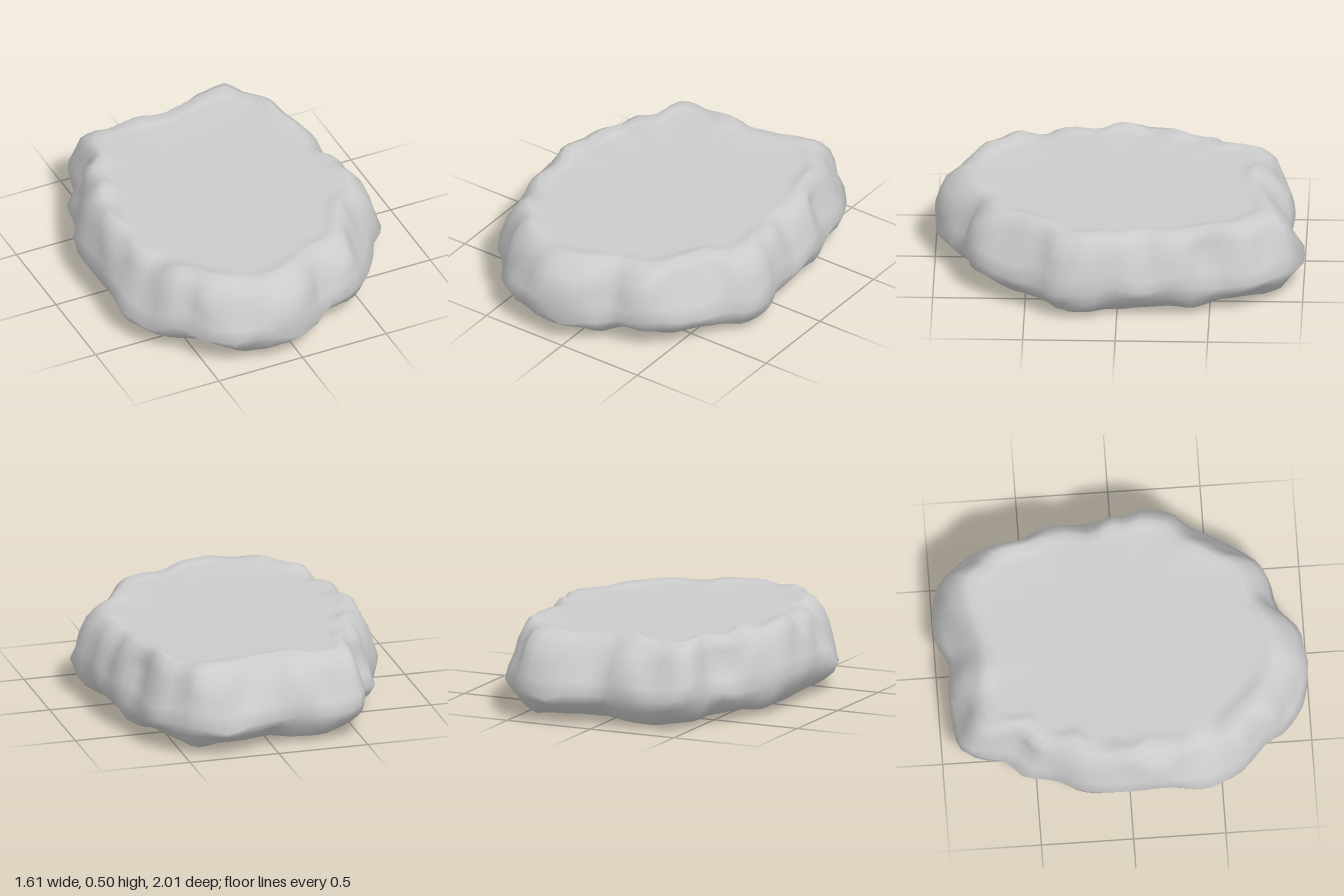
import * as THREE from 'three';

// Widest outline of the slab as x, z pairs, starting at the back
const OUTLINE = [
  0.16, -1, 0.44, -0.97, 0.56, -0.86, 0.64, -0.74, 0.68, -0.55, 0.73, -0.4, 0.76, -0.2, 0.77, -0.03,
  0.77, 0.08, 0.8, 0.17, 0.79, 0.33, 0.7, 0.43, 0.63, 0.56, 0.48, 0.76, 0.36, 0.83, 0.22, 0.86,
  0.13, 0.93, 0, 0.99, -0.2, 1, -0.37, 0.96, -0.5, 0.86, -0.56, 0.77, -0.66, 0.67, -0.74, 0.55,
  -0.8, 0.4, -0.79, 0.2, -0.8, 0, -0.78, -0.24, -0.7, -0.4, -0.66, -0.58, -0.58, -0.66, -0.54, -0.82,
  -0.49, -0.9, -0.27, -0.94, -0.1, -0.94, 0, -0.93,
];

// Rings from the underside centre to the top centre: [scale, height, inward chip, vertical bump]
const RINGS = [
  [0.001, 0.035, 0, 0], [0.15, 0.035, 0, 0.025], [0.3, 0.035, 0, 0.025], [0.45, 0.035, 0, 0.025],
  [0.6, 0.035, 0, 0.025], [0.75, 0.03, 0, 0.02], [0.88, 0.035, 0.03, 0.02], [0.94, 0.07, 0.04, 0.03],
  [0.985, 0.12, 0.03, 0.03], [1, 0.18, 0, 0.05], [0.995, 0.25, 0.05, 0.03], [0.97, 0.33, 0.07, 0.03],
  [0.94, 0.4, 0.08, 0.02], [0.885, 0.455, 0.06, 0.025], [0.83, 0.482, 0.05, 0.024],
  [0.78, 0.472, 0.06, 0.012], [0.71, 0.465, 0.04, 0], [0.4, 0.465, 0, 0], [0.001, 0.465, 0, 0],
];

// Smooth value noise between -1 and 1
function hash(x, y, z) {
  const s = Math.sin(x * 127.1 + y * 311.7 + z * 74.7) * 43758.5453;
  return (s - Math.floor(s)) * 2 - 1;
}
function noise(x, y, z) {
  const ix = Math.floor(x), iy = Math.floor(y), iz = Math.floor(z);
  const ease = (t) => t * t * (3 - 2 * t);
  const u = ease(x - ix), v = ease(y - iy), w = ease(z - iz);
  let sum = 0;
  for (let a = 0; a < 2; a++) for (let b = 0; b < 2; b++) for (let c = 0; c < 2; c++) {
    sum += (a ? u : 1 - u) * (b ? v : 1 - v) * (c ? w : 1 - w) * hash(ix + a, iy + b, iz + c);
  }
  return sum;
}

function slabGeometry() {
  const points = [];
  for (let i = 0; i < OUTLINE.length; i += 2) points.push(new THREE.Vector3(OUTLINE[i], 0, OUTLINE[i + 1]));
  const outline = new THREE.CatmullRomCurve3(points, true).getSpacedPoints(96).slice(0, 96);
  const n = outline.length, position = [], index = [];

  RINGS.forEach(([scale, height, chip, bump], j) => {
    for (const p of outline) {
      // The underside tapers more towards the front
      const taper = j > 5 && j < 9 ? 0.6 * (1 - scale) * Math.max(0, p.z) ** 2 : 0;
      const s = scale - taper - chip * (0.5 + 0.8 * noise(p.x * 6 + 9, height * 6, p.z * 6));
      const x = p.x * s, z = p.z * s;
      const y = height + bump * 1.4 * noise(x * 7, height * 3 + 20, z * 7);
      position.push(x, Math.max(0, y), z);
    }
  });

  for (let j = 0; j < RINGS.length - 1; j++) {
    for (let i = 0; i < n; i++) {
      const a = j * n + i, b = j * n + (i + 1) % n;
      index.push(a, a + n, b, b, a + n, b + n);
    }
  }
  const geometry = new THREE.BufferGeometry();
  geometry.setAttribute('position', new THREE.Float32BufferAttribute(position, 3));
  geometry.setIndex(index);
  geometry.computeVertexNormals();
  return geometry;
}

export function createModel() {
  const group = new THREE.Group();
  group.name = 'flatRock';
  const slab = new THREE.Mesh(slabGeometry(), new THREE.MeshStandardMaterial({ color: 0xcccccc }));
  slab.name = 'rockSlab';
  group.add(slab);
  return group;
}
